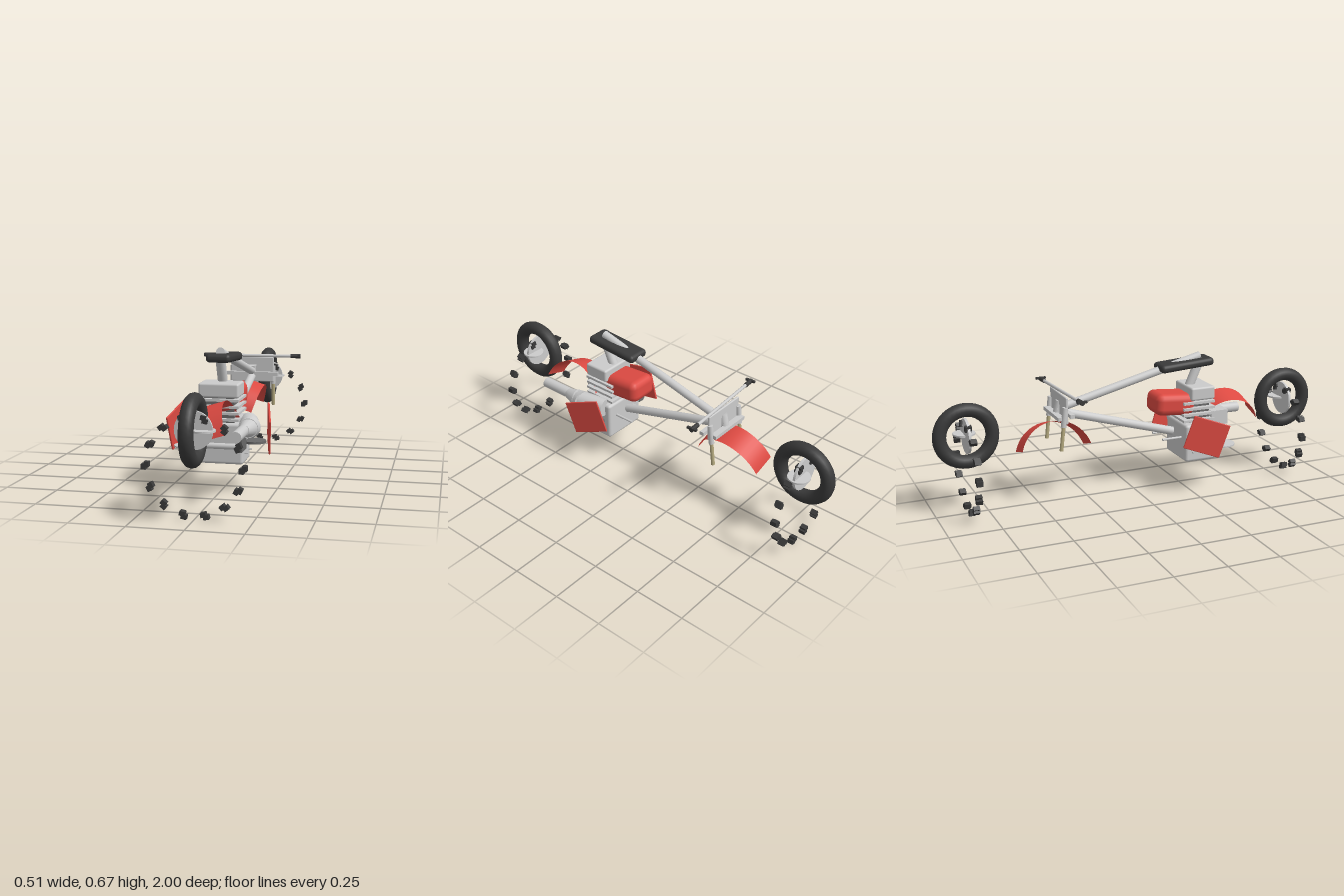
import * as THREE from 'three';
import { RoundedBoxGeometry } from 'three/addons/geometries/RoundedBoxGeometry.js';

const mat = (color) => new THREE.MeshStandardMaterial({ color });
const grey = mat(0xcccccc), dark = mat(0x3a3a3a), mid = mat(0x6a6a6a);
const red = mat(0xdd4a42), brass = mat(0xb5aa80);
const redSheet = mat(0xdd4a42);
redSheet.side = THREE.DoubleSide;

export function createModel() {
  const model = new THREE.Group();
  model.name = 'motorcycle';

  const add = (name, geometry, material, x = 0, y = 0, z = 0, parent = model) => {
    const mesh = new THREE.Mesh(geometry, material);
    mesh.name = name;
    mesh.position.set(x, y, z);
    parent.add(mesh);
    return mesh;
  };
  const box = (w, h, d) => new THREE.BoxGeometry(w, h, d);
  const rounded = (w, h, d, r) => new RoundedBoxGeometry(w, h, d, 2, r);
  const disc = (r, h) => new THREE.CylinderGeometry(r, r, h, 32);
  // Round rod between two points, optionally tapered
  const rod = (name, a, b, r, material = grey, r2 = r) => {
    const p = new THREE.Vector3(...a), q = new THREE.Vector3(...b);
    const d = q.clone().sub(p);
    const mesh = add(name, new THREE.CylinderGeometry(r2, r, d.length(), 16), material);
    mesh.position.copy(p).add(q).multiplyScalar(0.5);
    mesh.quaternion.setFromUnitVectors(new THREE.Vector3(0, 1, 0), d.normalize());
    return mesh;
  };

  // Wheels with hub discs and a separate ring of tread knobs
  for (const z of [0.84, -0.84]) {
    const wheel = new THREE.Group();
    wheel.name = z > 0 ? 'frontWheel' : 'rearWheel';
    wheel.position.z = z;
    model.add(wheel);
    add('tire', new THREE.TorusGeometry(0.125, 0.033, 12, 36).rotateY(Math.PI / 2), dark, 0, 0.382, 0, wheel);
    add('rim', new THREE.TorusGeometry(0.103, 0.01, 8, 36).rotateY(Math.PI / 2), dark, 0, 0.382, 0, wheel);
    add('hubDisc', disc(0.083, 0.012).rotateX(Math.PI / 2), grey, 0, 0.382, 0, wheel);
    add('brakeDisc', disc(0.053, 0.008), grey, 0.04, 0.382, 0, wheel);
    for (let i = 0; i < 14; i++) {
      const a = (i / 14) * Math.PI * 2;
      for (const s of [-1, 1]) {
        const knob = add('treadKnob', box(0.02, 0.024, 0.03), dark,
          Math.cos(a) * (0.21 + s * 0.006) - Math.sin(a) * s * 0.005,
          0.225 + Math.sin(a) * (0.21 + s * 0.006) + Math.cos(a) * s * 0.005, 0, wheel);
        knob.rotation.z = a;
      }
    }
  }

  // Curved fenders, tilted sideways in opposite directions
  const fender = (name, x, y, z, tilt) => {
    const arc = 2.55;
    const g = new THREE.CylinderGeometry(0.178, 0.178, 0.12, 18, 1, true, (Math.PI - arc) / 2, arc);
    add(name, g.rotateZ(Math.PI / 2 + tilt), redSheet, x, y, z);
  };
  fender('frontFender', 0.053, 0.265, 0.51, 0.3);
  fender('rearFender', -0.053, 0.233, -0.43, -0.3);

  // Engine: crankcase, finned cylinder, head
  add('crankcase', rounded(0.23, 0.19, 0.17, 0.014), grey, 0, 0.235, 0.317);
  add('cylinderCore', box(0.14, 0.13, 0.12), mid, 0, 0.385, 0.32);
  for (let i = 0; i < 4; i++) {
    add('coolingFin', box(0.19, 0.012, 0.17), grey, 0, 0.345 + i * 0.03, 0.315);
  }
  add('cylinderHead', rounded(0.188, 0.066, 0.13, 0.01), grey, 0, 0.479, 0.335);
  add('airBox', box(0.1, 0.075, 0.09), grey, -0.04, 0.345, 0.43);
  rod('crankcaseTube', [-0.08, 0.225, 0.402], [0.082, 0.225, 0.402], 0.014);
  for (const z of [0.27, 0.36]) rod('mountPin', [-0.131, 0.19, z], [0.131, 0.19, z], 0.004);
  for (const x of [-0.06, 0.06]) rod('enginePin', [x, 0.257, 0.13], [x, 0.257, 0.24], 0.006);

  // Flat side discs, side bracket
  add('sideDisc', disc(0.065, 0.011), mid, -0.145, 0.236, 0.31);
  add('sideDisc', disc(0.055, 0.011), mid, 0.15, 0.236, 0.31);
  add('lowerDisc', disc(0.063, 0.007), grey, -0.138, 0.225, 0.42);
  add('sideBracket', box(0.02, 0.066, 0.1), mid, 0.118, 0.248, 0.43);

  // Exhaust
  rod('exhaustBody', [0.115, 0.315, 0.26], [0.145, 0.318, 0.43], 0.045);
  rod('exhaustCone', [0.145, 0.318, 0.39], [0.137, 0.318, 0.49], 0.052, grey, 0.026);
  rod('exhaustPipe', [0.135, 0.318, 0.45], [0.135, 0.318, 0.65], 0.026);

  // Frame tubes, seat post and steering head
  rod('topTube', [0, 0.652, 0.355], [0, 0.46, -0.4], 0.02);
  rod('lowerTube', [0, 0.277, 0.21], [0, 0.452, -0.4], 0.021);
  rod('seatPost', [0, 0.5, 0.3], [0, 0.615, 0.35], 0.023);
  rod('steeringHead', [0, 0.42, -0.4], [0, 0.5, -0.38], 0.022);

  // Seat and fuel tank
  add('seat', rounded(0.116, 0.04, 0.285, 0.018), dark, 0, 0.618, 0.27).rotation.x = -0.07;
  add('fuelTank', rounded(0.16, 0.11, 0.21, 0.035), red, 0, 0.428, 0.2).rotation.x = 0.08;

  // Angled side panels
  for (const s of [-1, 1]) {
    const panel = add('sidePanel', rounded(0.009, 0.17, 0.19, 0.003), red, s * 0.216, 0.297, 0.295);
    panel.rotation.set(0.33, s * 0.22, 0, 'YXZ');
  }

  // Fork legs with upper sleeves
  for (const s of [-1, 1]) {
    rod('forkLeg', [s * 0.108, 0.285, -0.415], [s * 0.108, 0.42, -0.4], 0.009, brass);
    rod('forkSleeve', [s * 0.108, 0.4, -0.402], [s * 0.108, 0.495, -0.392], 0.013);
  }
  add('upperClamp', box(0.28, 0.018, 0.022), grey, 0, 0.456, -0.367);
  add('lowerClamp', box(0.22, 0.018, 0.03), grey, 0, 0.44, -0.413);
  add('frontPlate', rounded(0.228, 0.13, 0.012, 0.005), grey, 0, 0.477, -0.385);

  // Handlebar, slightly turned
  const bars = new THREE.Group();
  bars.name = 'handlebar';
  bars.position.set(0, 0.549, -0.376);
  bars.rotation.y = 0.07;
  model.add(bars);
  add('bar', new THREE.CylinderGeometry(0.008, 0.008, 0.48, 12).rotateZ(Math.PI / 2), grey, 0, 0, 0, bars);
  for (const s of [-1, 1]) {
    add('grip', new THREE.CylinderGeometry(0.011, 0.011, 0.052, 12).rotateZ(Math.PI / 2), dark, s * 0.228, 0, 0, bars);
    add('lever', box(0.012, 0.01, 0.05), dark, s * 0.247, 0.004, 0, bars);
  }
  return model;
}
